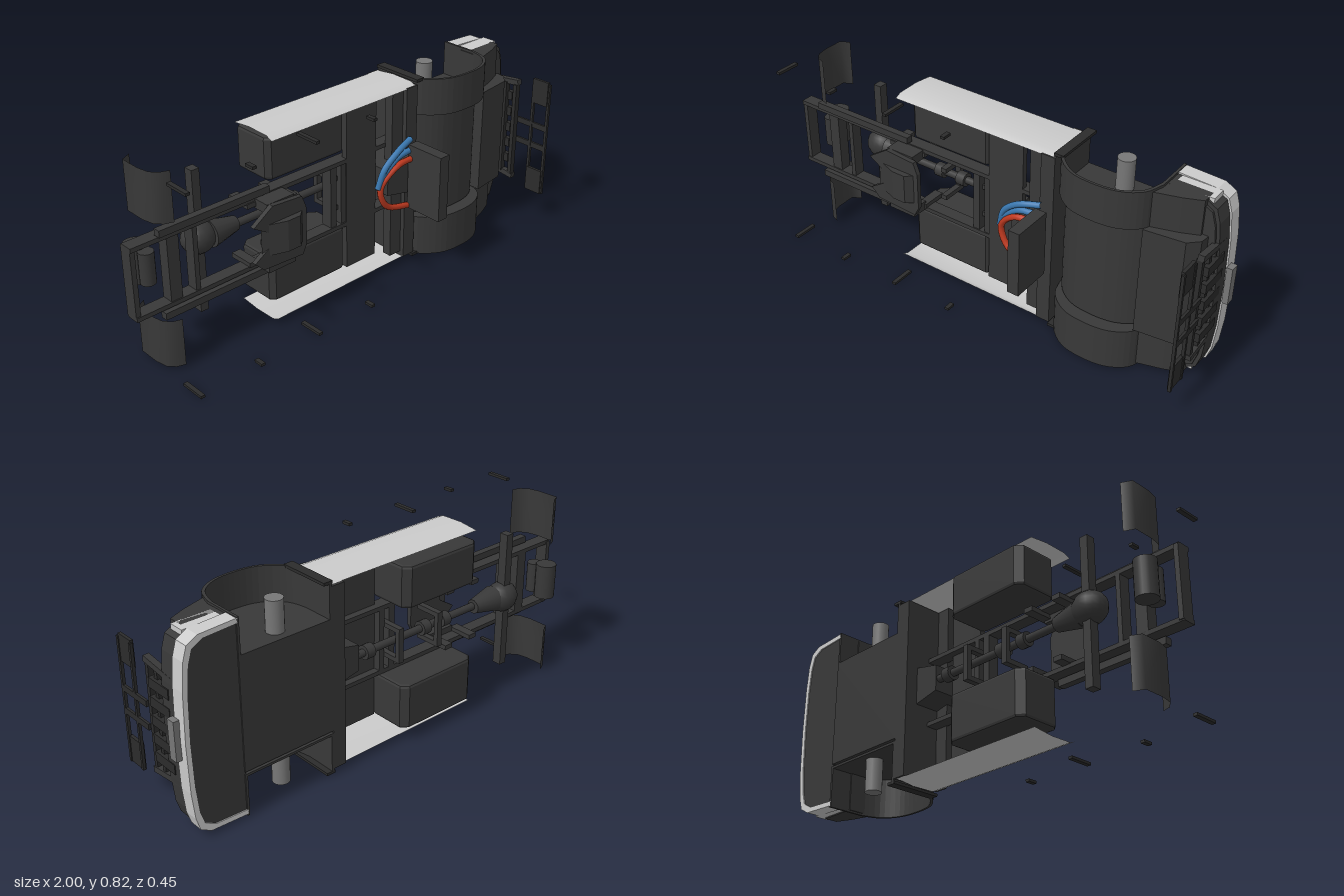
import * as THREE from 'three';

const mat = (color, side = THREE.FrontSide) => new THREE.MeshStandardMaterial({ color, side });
const DARK = mat(0x383838), BLACK = mat(0x2b2b2b), MID = mat(0x777777), LIGHT = mat(0xcccccc);
const THIN = mat(0x383838, THREE.DoubleSide), SKIRT = mat(0xcccccc, THREE.DoubleSide);
const BLUE = mat(0x3a78b0), RED = mat(0xc03a20);
const CY = 0.415; // centre line of the chassis, which lies on its side

export function createModel() {
  const model = new THREE.Group();
  const add = (name, geo, material = DARK) => {
    const m = new THREE.Mesh(geo, material);
    m.name = name;
    model.add(m);
    return m;
  };
  // box from its limits
  const box = (name, x0, x1, y0, y1, z0, z1, material) => {
    const g = new THREE.BoxGeometry(x1 - x0, y1 - y0, z1 - z0);
    g.translate((x0 + x1) / 2, (y0 + y1) / 2, (z0 + z1) / 2);
    return add(name, g, material);
  };
  // the same box on both sides of the centre line
  const boxPair = (name, x0, x1, y0, y1, z0, z1, material) => {
    box(name, x0, x1, y0, y1, z0, z1, material);
    box(name, x0, x1, 2 * CY - y1, 2 * CY - y0, z0, z1, material);
  };
  // side profile in (x, z), extruded across from y0 to y1
  const profile = (name, pts, y0, y1, material, bevel = 0) => {
    const s = new THREE.Shape(pts.map(([x, z]) => new THREE.Vector2(x, -z)));
    const g = new THREE.ExtrudeGeometry(s, {
      depth: y1 - y0 - 2 * bevel, bevelEnabled: bevel > 0, bevelSize: bevel, bevelThickness: bevel,
      bevelOffset: -bevel, bevelSegments: 2
    });
    g.rotateX(-Math.PI / 2).translate(0, y0 + bevel, 0);
    return add(name, g, material);
  };
  // plan outline in (x, y), extruded from z0 to z1
  const plan = (name, pts, z0, z1, material) => {
    const g = new THREE.ExtrudeGeometry(new THREE.Shape(pts.map(p => new THREE.Vector2(...p))),
      { depth: z1 - z0, bevelEnabled: false });
    g.translate(0, 0, z0);
    return add(name, g, material);
  };
  // thin open sheet following (x, z, y0, y1) sections
  const sheet = (name, sections, material) => {
    const v = [], idx = [];
    sections.forEach(([x, z, y0, y1], i) => {
      v.push(x, y0, z, x, y1, z);
      if (i) idx.push(2 * i - 2, 2 * i - 1, 2 * i, 2 * i - 1, 2 * i + 1, 2 * i);
    });
    const g = new THREE.BufferGeometry();
    g.setAttribute('position', new THREE.Float32BufferAttribute(v, 3));
    g.setIndex(idx);
    g.computeVertexNormals();
    return add(name, g, material);
  };
  const cyl = (name, r, y0, y1, x, z, material = DARK) =>
    add(name, new THREE.CylinderGeometry(r, r, y1 - y0, 20).translate(x, (y0 + y1) / 2, z), material);
  const rod = (name, r0, r1, x0, x1, z) =>
    add(name, new THREE.CylinderGeometry(r1, r0, x1 - x0, 14)
      .rotateZ(-Math.PI / 2).translate((x0 + x1) / 2, CY + 0.01, z));

  // Ladder frame
  boxPair('frameRail', -1, 0.33, 0.547, 0.565, -0.08, -0.025);
  boxPair('subframeRail', -0.89, -0.4, 0.57, 0.598, -0.04, -0.01);
  box('rearCrossMember', -1, -0.98, 0.27, 0.56, -0.085, -0.03);
  for (const [x, w] of [[-0.85, 0.05], [-0.74, 0.02], [-0.08, 0.03], [-0.025, 0.025]])
    box('crossMember', x, x + w, 0.27, 0.56, -0.08, -0.03);

  // Rear air tanks
  cyl('airTank', 0.043, 0.35, 0.5, -0.907, -0.15);
  cyl('smallAirTank', 0.03, 0.36, 0.49, -0.9, -0.09);

  // Rear axle, differential and drive shaft
  box('rearAxle', -0.665, -0.63, 0.11, 0.71, -0.16, -0.12);
  add('differential', new THREE.SphereGeometry(0.065, 16, 12).scale(1.1, 1, 0.95).translate(-0.645, CY + 0.01, -0.135));
  rod('differentialNose', 0.055, 0.03, -0.6, -0.48, -0.125);
  rod('driveShaft', 0.016, 0.016, -0.56, 0.24, -0.12);
  for (const x of [-0.33, -0.22, 0.08]) rod('shaftJoint', 0.03, 0.03, x, x + 0.04, -0.12);
  for (const x of [-0.26, -0.05]) {
    boxPair('shaftHanger', x, x + 0.025, 0.47, 0.49, -0.15, -0.05);
    box('shaftHangerBase', x, x + 0.025, 0.34, 0.49, -0.165, -0.145);
  }

  // Coupling plate with rear notch, tapering upwards, on brackets
  plan('couplingPlate', [[-0.54, 0.35], [-0.5, 0.31], [-0.31, 0.3], [-0.29, 0.34], [-0.29, 0.5],
    [-0.31, 0.55], [-0.45, 0.56], [-0.54, 0.5], [-0.46, 0.45], [-0.46, 0.4]], 0.045, 0.065);
  profile('couplingMount', [[-0.5, 0.055], [-0.3, 0.055], [-0.34, 0.09], [-0.4, 0.09]], 0.36, 0.49);
  boxPair('couplingFoot', -0.46, -0.33, 0.52, 0.56, -0.03, 0.045);
  for (const x of [-0.5, -0.36]) boxPair('springBracket', x, x + 0.04, 0.53, 0.55, -0.13, -0.02);

  // Rear mud guards: bent thin sheets beside the frame with a lower flange
  for (const side of [-1, 1]) {
    const y = CY + side * 0.3;
    sheet('mudGuard', [[-0.83, 0], [-0.865, -0.012], [-0.89, -0.04], [-0.9, -0.09], [-0.9, -0.18], [-0.86, -0.2]]
      .map(([x, z]) => [x, z, y - 0.1, y + 0.1]), THIN);
  }
  // Side marker brackets, alternately long and short
  for (const [x, z] of [[-0.905, 0.085], [-0.63, 0.15], [-0.345, 0.085], [-0.065, 0.15]])
    boxPair('markerBracket', x, x + 0.018, 0.815, 0.826, z, 0.19, BLACK);

  // Fuel tanks, rounded boxes joined by a deck behind the cab
  const tankPts = [[-0.39, -0.05], [-0.37, -0.03], [-0.02, -0.03], [0, -0.05],
    [0, -0.2], [-0.03, -0.225], [-0.36, -0.225], [-0.39, -0.2]];
  profile('leftFuelTank', tankPts, 0.6, 0.775, DARK, 0.012);
  profile('rightFuelTank', tankPts, 0.07, 0.265, DARK, 0.012);
  box('deckPlate', 0, 0.16, 0.07, 0.79, -0.05, -0.025);
  box('rearCabBeam', 0.215, 0.28, 0.05, 0.8, -0.03, 0.01);
  box('rearCabPanel', 0.275, 0.335, 0.03, 0.798, -0.195, 0.03);

  // Light side skirts, slightly folded along their length
  for (const side of [-1, 1]) {
    const pts = [[-0.185, 0.385], [-0.1, 0.395], [0.0, 0.393], [0.03, 0.38]];
    const s = sheet('sideSkirt', pts.map(([z, o]) => [CY + side * o, z, -0.325, 0.415]), SKIRT);
    s.geometry.rotateZ(Math.PI / 2);
  }

  // Gearbox, upright panel and hoses behind the cab
  plan('gearbox', [[0.16, 0.37], [0.3, 0.34], [0.3, 0.51], [0.16, 0.48]], -0.14, 0.045);
  box('uprightPanel', 0.27, 0.32, 0.28, 0.565, 0.05, 0.225);
  const hose = (name, pts, material) => add(name, new THREE.TubeGeometry(
    new THREE.CatmullRomCurve3(pts.map(p => new THREE.Vector3(...p))), 32, 0.013, 8), material);
  hose('blueHose', [[0.29, 0.58, 0.04], [0.2, 0.56, 0.06], [0.13, 0.5, 0.055], [0.105, 0.42, 0.045]], BLUE);
  hose('blueHose', [[0.29, 0.54, 0.05], [0.2, 0.53, 0.055], [0.12, 0.47, 0.05]], BLUE);
  hose('redHose', [[0.3, 0.505, 0.06], [0.19, 0.5, 0.065], [0.115, 0.42, 0.05], [0.15, 0.33, 0.05], [0.29, 0.285, 0.05]], RED);

  // Cab floor: rounded tunnel between the wheel arches
  const arch = (s, o) => {
    const c = new THREE.SplineCurve([[0.335, -0.05], [0.36, 0.03], [0.44, 0.095], [0.54, 0.112],
      [0.64, 0.1], [0.715, 0.05], [0.745, -0.03]].map(p => new THREE.Vector2(...p)));
    const top = c.getPoints(24).map(p => [0.54 + (p.x - 0.54) * s, p.y - o]);
    return [[0.54 - 0.205 * s, -0.195], ...top, [0.54 + 0.205 * s, -0.195]];
  };
  profile('cabTunnel', arch(1, 0.045), 0.2, 0.66);
  const fender = [...arch(1, 0), ...arch(0.95, 0.01).reverse()];
  for (const [y0, y1, wall] of [[0.012, 0.19, 0.18], [0.66, 0.815, 0.66]]) {
    profile('wheelArch', fender, y0, y1);
    profile('archInnerWall', arch(0.97, 0.005), wall, wall + 0.01);
  }
  cyl('frontAxle', 0.035, 0.04, 0.8, 0.54, -0.13, MID);

  // Front floor and rounded bumper
  const front = (inset) => {
    const half = [[0.978, 0], [0.973, 0.2], [0.962, 0.31], [0.945, 0.365], [0.9, 0.39], [0.74, 0.397]]
      .map(([x, o]) => [x - (x > 0.8 ? inset : 0), Math.max(o - inset, 0)]);
    return [...half.slice(1).reverse().map(([x, o]) => [x, CY - o]), ...half.map(([x, o]) => [x, CY + o])];
  };
  plan('frontFloor', front(0.018), -0.19, -0.05);
  const strip = (name, z0, z1, inset, material) =>
    plan(name, [...front(inset), ...front(inset + 0.02).reverse()], z0, z1, material);
  strip('bumperLower', -0.195, -0.135, 0, LIGHT);
  strip('bumperUpper', -0.135, -0.06, 0.006, DARK);
  boxPair('cornerLamp', 0.75, 0.92, 0.775, 0.805, -0.135, -0.07, LIGHT);
  profile('frontCowl', [[0.72, -0.1], [0.93, -0.1], [0.92, -0.01], [0.88, 0.03], [0.72, 0.05]], 0.2, 0.66);
  for (const [y0, y1] of [[0.02, 0.185], [0.66, 0.805]])
    profile('fenderNose', [[0.73, -0.1], [0.9, -0.1], [0.9, -0.04], [0.83, -0.01], [0.73, 0.02]], y0, y1);

  // Lower grille: tapering surround with cross bars and slats
  for (const side of [-1, 1]) {
    const post = box('grillePost', 0.94, 0.965, -0.012, 0.012, -0.09, 0.09);
    post.position.set(0, CY + side * 0.215, -0.035);
    post.rotation.x = -side * 0.12;
  }
  for (const z of [-0.115, -0.07, -0.02, 0.035])
    box('grilleBar', 0.935, 0.96, 0.2, 0.63, z, z + 0.018, BLACK);
  for (let i = 0; i < 5; i++)
    box('grilleSlat', 0.95, 0.972, 0.245 + i * 0.075, 0.285 + i * 0.075, -0.1, 0.02, BLACK);

  // Upper grille: open thin frame standing above the cowl
  for (const z of [0.12, 0.2]) box('upperGrilleBar', 0.96, 0.972, 0.15, 0.67, z, z + 0.012, BLACK);
  boxPair('upperGrilleEnd', 0.955, 0.968, 0.57, 0.68, 0.125, 0.205, BLACK);
  boxPair('upperGrilleUpright', 0.962, 0.972, 0.45, 0.475, 0.05, 0.205, BLACK);
  box('numberPlate', 0.976, 1, 0.34, 0.5, -0.165, -0.127, MID);

  // Outer rim edges of the cab sides
  boxPair('cabEdge', 0.33, 0.37, 0.808, 0.82, -0.195, 0.03, BLACK);
  return model;
}
